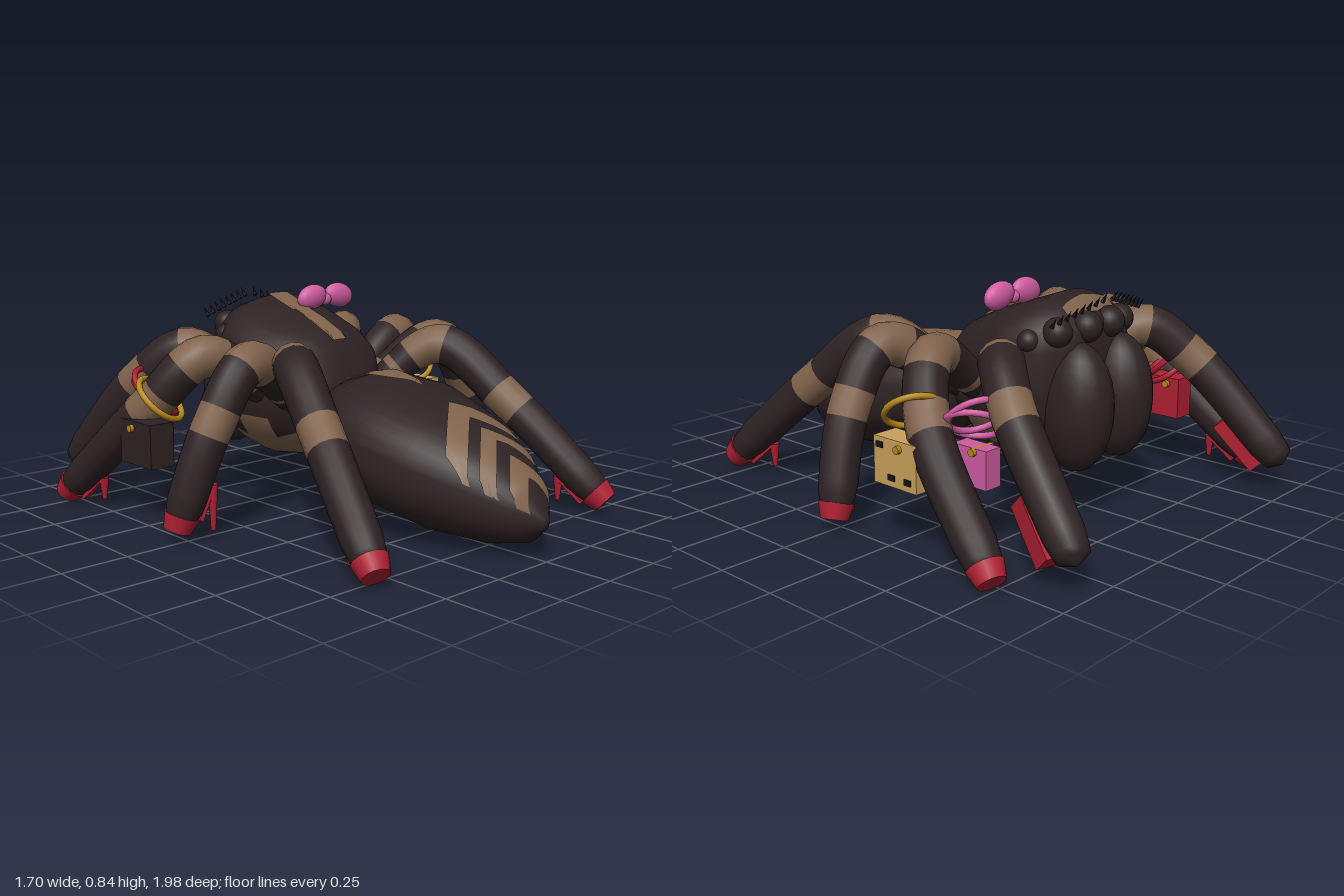
import * as THREE from 'three';

const V = (x, y, z) => new THREE.Vector3(x, y, z);
const mat = (name, color) => {
  const m = new THREE.MeshStandardMaterial({ color });
  m.name = name;
  return m;
};

export function createModel() {
  const dark = mat('dark brown', 0x2e2223), tan = mat('tan', 0x7f624b), black = mat('black', 0x151316);
  const pink = mat('pink', 0xcf5ca0), red = mat('red', 0xae2032), gold = mat('gold', 0xb8881c), beige = mat('beige', 0xcba25c);
  const root = new THREE.Group();
  root.name = 'spider';

  const add = (parent, name, geo, material, pos = V(0, 0, 0), scale) => {
    const m = new THREE.Mesh(geo, material);
    m.name = name;
    m.position.copy(pos);
    if (scale) m.scale.copy(scale);
    parent.add(m);
    return m;
  };
  const ball = (parent, name, material, pos, scale) =>
    add(parent, name, new THREE.SphereGeometry(1, 20, 14), material, pos, scale);

  // Skin over rings; isTan(i, j) picks the second material for a quad
  function loft(rings, isTan = () => false) {
    const n = rings[0].length, idx = [[], []];
    for (let i = 0; i < rings.length - 1; i++) for (let j = 0; j < n; j++) {
      const a = i * n + j, b = i * n + (j + 1) % n;
      idx[isTan(i, j) ? 1 : 0].push(a, b, a + n, b, b + n, a + n);
    }
    const g = new THREE.BufferGeometry().setFromPoints(rings.flat());
    g.setIndex([...idx[0], ...idx[1]]);
    g.addGroup(0, idx[0].length, 0);
    g.addGroup(idx[0].length, idx[1].length, 1);
    g.computeVertexNormals();
    return g;
  }

  // Body section at z from stations [z, half width, bottom, top]
  function section(st, z) {
    let i = 0;
    while (i < st.length - 2 && z > st[i + 1][0]) i++;
    const t = THREE.MathUtils.clamp((z - st[i][0]) / (st[i + 1][0] - st[i][0]), 0, 1);
    return st[i].map((v, k) => v + (st[i + 1][k] - v) * t);
  }
  function bodyGeometry(st, power, isTan) {
    const N = 36;
    const ring = ([z, w, yb, yt], s) => Array.from({ length: N }, (_, j) => {
      const a = j / N * Math.PI * 2, c = (yb + yt) / 2, h = (yt - yb) / 2 * s, sn = Math.sin(a);
      return V(Math.cos(a) * w * s, c + h * (sn > 0 ? Math.pow(sn, power) : sn), z);
    });
    const rings = [ring(st[0], 0.001), ...st.map(s => ring(s, 1)), ring(st[st.length - 1], 0.001)];
    return loft(rings, isTan);
  }
  // Painted strip lying on the upper surface, between z0(x) and z1(x)
  function marking(name, st, power, hw, z0, z1) {
    const NX = 24, NZ = 12, pts = [], idx = [];
    for (let i = 0; i <= NX; i++) for (let j = 0; j <= NZ; j++) {
      let x = (i / NX * 2 - 1) * hw;
      const a = z0(Math.abs(x)), z = a + (z1(Math.abs(x)) - a) * j / NZ;
      const [, w, yb, yt] = section(st, z);
      x = THREE.MathUtils.clamp(x, -w * 0.97, w * 0.97);
      const y = (yb + yt) / 2 + (yt - yb) / 2 * Math.pow(1 - (x / w) ** 2, power / 2);
      pts.push(V(x * 1.015, y + 0.009, z));
      const p = i * (NZ + 1) + j;
      if (i < NX && j < NZ) idx.push(p, p + 1, p + NZ + 1, p + 1, p + NZ + 2, p + NZ + 1);
    }
    const g = new THREE.BufferGeometry().setFromPoints(pts);
    g.setIndex(idx);
    g.computeVertexNormals();
    add(root, name, g, tan);
  }

  // Abdomen with spear mark and chevrons
  const abd = [[0.03, 0.10, 0.28, 0.44], [0.08, 0.20, 0.19, 0.51], [0.2, 0.295, 0.12, 0.545], [0.38, 0.325, 0.055, 0.53],
    [0.6, 0.285, 0.02, 0.455], [0.8, 0.19, 0.02, 0.355], [0.93, 0.10, 0.05, 0.25], [0.995, 0.015, 0.11, 0.15]];
  add(root, 'abdomen', bodyGeometry(abd, 0.75), [dark, tan]);
  marking('spearMark', abd, 0.75, 0.1, () => 0.075, x => (x < 0.05 ? 0.43 - x * 2.6 : 0.3 - (x - 0.05) * 3.4));
  [[0.55, 0.1, 0.19], [0.7, 0.075, 0.15], [0.83, 0.085, 0.09]].forEach(([z, t, hw]) =>
    marking('chevron', abd, 0.75, hw, x => z + 0.85 * x, x => Math.min(0.98, z + t + 0.85 * x)));

  // Head and thorax, with a paler belly
  const thx = [[-0.56, 0.17, 0.34, 0.71], [-0.48, 0.255, 0.21, 0.775], [-0.4, 0.30, 0.16, 0.795], [-0.3, 0.31, 0.15, 0.76],
    [-0.15, 0.28, 0.17, 0.71], [-0.05, 0.23, 0.22, 0.665], [0, 0.19, 0.27, 0.62], [0.05, 0.1, 0.35, 0.5]];
  add(root, 'thorax', bodyGeometry(thx, 0.5, (i, j) =>
    (i > 1 && i < 7 && j > 21 && j < 32) || (i === 4 && j > 19 && j < 34)), [dark, tan]);
  marking('backStripe', thx, 0.5, 0.05, () => -0.4, x => (x < 0.035 ? -0.02 : -0.24));
  marking('browBand', thx, 0.5, 0.13, x => -0.54 + x * 0.2, x => -0.465 - x * 0.15);

  for (const s of [-1, 1]) {
    // Jaws, eyes and lashes
    ball(root, 'jaw', dark, V(s * 0.118, 0.41, -0.55), V(0.118, 0.235, 0.14));
    [[0.065, 0.69, -0.545, 0.057], [0.18, 0.68, -0.505, 0.054], [0.245, 0.65, -0.43, 0.042]].forEach(([x, y, z, r]) =>
      ball(root, 'eye', dark, V(s * x, y, z), V(r, r, r)));
    for (let i = 0; i < 8; i++) {
      const x = 0.03 + i * 0.032;
      const lash = add(root, 'eyelash', new THREE.ConeGeometry(0.009, 0.045, 6), black,
        V(s * x, 0.795 - i * 0.009, -0.6 + x * 0.2));
      lash.rotation.set(-0.6, 0, -s * 0.15);
    }

    // Legs: body joint, knee, shin, toe
    [[V(0.22, 0.44, -0.3), V(0.41, 0.61, -0.45), V(0.53, 0.485, -0.61), V(0.64, 0.1, -0.965)],
      [V(0.2, 0.42, -0.2), V(0.5, 0.61, -0.22), V(0.66, 0.43, -0.35), V(0.795, 0.045, -0.75)],
      [V(0.18, 0.42, -0.09), V(0.5, 0.61, 0.035), V(0.66, 0.41, 0.04), V(0.785, 0.055, -0.01)],
      [V(0.18, 0.42, -0.04), V(0.38, 0.61, 0.15), V(0.49, 0.4, 0.43), V(0.61, 0.055, 0.8)]].forEach((p, k) => {
      const leg = new THREE.Group();
      leg.name = ['frontLeg', 'secondLeg', 'thirdLeg', 'rearLeg'][k];
      root.add(leg);
      p.forEach(v => { v.x *= s; });
      const curve = new THREE.CatmullRomCurve3(p), M = 40, N = 14;
      const f = curve.computeFrenetFrames(M);
      const near = [1, 2].map(q => {
        let best = 0;
        for (let i = 0; i <= M; i++) if (curve.getPointAt(i / M).distanceTo(p[q]) < curve.getPointAt(best / M).distanceTo(p[q])) best = i;
        return best;
      });
      const radius = i => {
        const t = i / M, end = Math.min(1, (M - i) / 4);
        return (t < 0.3 ? 0.055 + t * 0.09 : 0.082 - (t - 0.3) * 0.018) * (i === M ? 0.001 : 0.62 + 0.38 * Math.sqrt(end));
      };
      const rings = Array.from({ length: M + 1 }, (_, i) => Array.from({ length: N }, (_, j) => {
        const a = j / N * Math.PI * 2;
        return curve.getPointAt(i / M).addScaledVector(f.normals[i], Math.cos(a) * radius(i))
          .addScaledVector(f.binormals[i], Math.sin(a) * radius(i));
      }));
      const shift = k === 1 ? 2 : k === 2 ? 1 : 0;
      const banded = i => (i > near[0] - 5 + shift && i < near[0] + 1 + shift) || Math.abs(i + 0.5 - near[1]) < 2.1 || i === 4;
      add(leg, 'limb', loft(rings, banded), [dark, tan]);

      // High-heeled shoe, laid along the underside of the shin
      const d = p[3].clone().sub(p[2]).normalize();
      const n = V(0, -1, 0).addScaledVector(d, d.y).normalize();
      const along = (name, geo, back, drop, out) => {
        const m = add(leg, name, geo, red, p[3].clone().addScaledVector(d, -back).addScaledVector(n, drop));
        m.position.x += s * out;
        m.quaternion.setFromRotationMatrix(new THREE.Matrix4().makeBasis(d.clone().cross(n), d, n));
      };
      if (k === 0) along('shoe', new THREE.BoxGeometry(0.08, 0.22, 0.08), 0.17, 0.085, 0.03);
      else {
        along('toeCap', new THREE.CylinderGeometry(0.05, 0.066, 0.06, 14), 0.015, 0, 0);
        along('sole', new THREE.BoxGeometry(0.035, 0.13, 0.014), 0.11, 0.07, 0);
        const top = p[3].clone().addScaledVector(d, -0.18).addScaledVector(n, 0.068);
        const h = top.y - 0.03;
        add(leg, 'heel', new THREE.CylinderGeometry(0.02, 0.009, h, 8), red, V(top.x, top.y - h / 2, top.z));
      }
    });

    // Hoops round the first two legs, each with a handbag hanging below
    const hoop = (material, c, axis, r) =>
      add(root, 'bagHandle', new THREE.TorusGeometry(r, 0.012, 8, 28), material, c)
        .quaternion.setFromUnitVectors(V(0, 0, 1), axis.normalize());
    const bag = (name, body, c, size) => {
      const g = new THREE.Group();
      g.name = name;
      g.position.copy(c);
      root.add(g);
      add(g, 'bagBody', new THREE.BoxGeometry(size.x, size.y, size.z), body);
      add(g, 'claspBar', new THREE.CylinderGeometry(0.014, 0.014, size.x + 0.03, 10), gold, V(0, 0.055, -0.02)).rotation.z = Math.PI / 2;
      return g;
    };
    hoop(gold, V(s * 0.66, 0.46, -0.285), V(s * 0.35, -0.65, -0.55), 0.1);
    const outer = bag(s > 0 ? 'beigeBag' : 'darkBag', s > 0 ? beige : dark, V(s * 0.715, 0.303, -0.3), V(0.1, 0.165, 0.2));
    if (s > 0) for (const [y, z] of [[-0.05, -0.06], [-0.05, 0.015], [0.055, 0.07]])
      add(outer, 'stud', new THREE.BoxGeometry(0.006, 0.02, 0.03), black, V(0.052, y, z));
    const bright = s > 0 ? pink : red;
    hoop(bright, V(s * 0.555, 0.46, -0.475), V(s * 0.3, -0.65, -0.6), 0.1);
    hoop(bright, V(s * 0.565, 0.43, -0.47), V(s * 0.5, -0.75, -0.35), 0.1);
    if (s > 0) bag('pinkBag', pink, V(0.565, 0.295, -0.48), V(0.07, 0.135, 0.15));
    else bag('redBag', red, V(-0.57, 0.305, -0.48), V(0.09, 0.16, 0.15));

    // Bow loops
    ball(root, 'bowLoop', pink, V(0.148 + s * 0.073, 0.787, -0.272), V(0.073, 0.05, 0.035)).rotation.z = -s * 0.2;
  }
  ball(root, 'bowKnot', pink, V(0.148, 0.775, -0.272), V(0.025, 0.025, 0.025));
  return root;
}
